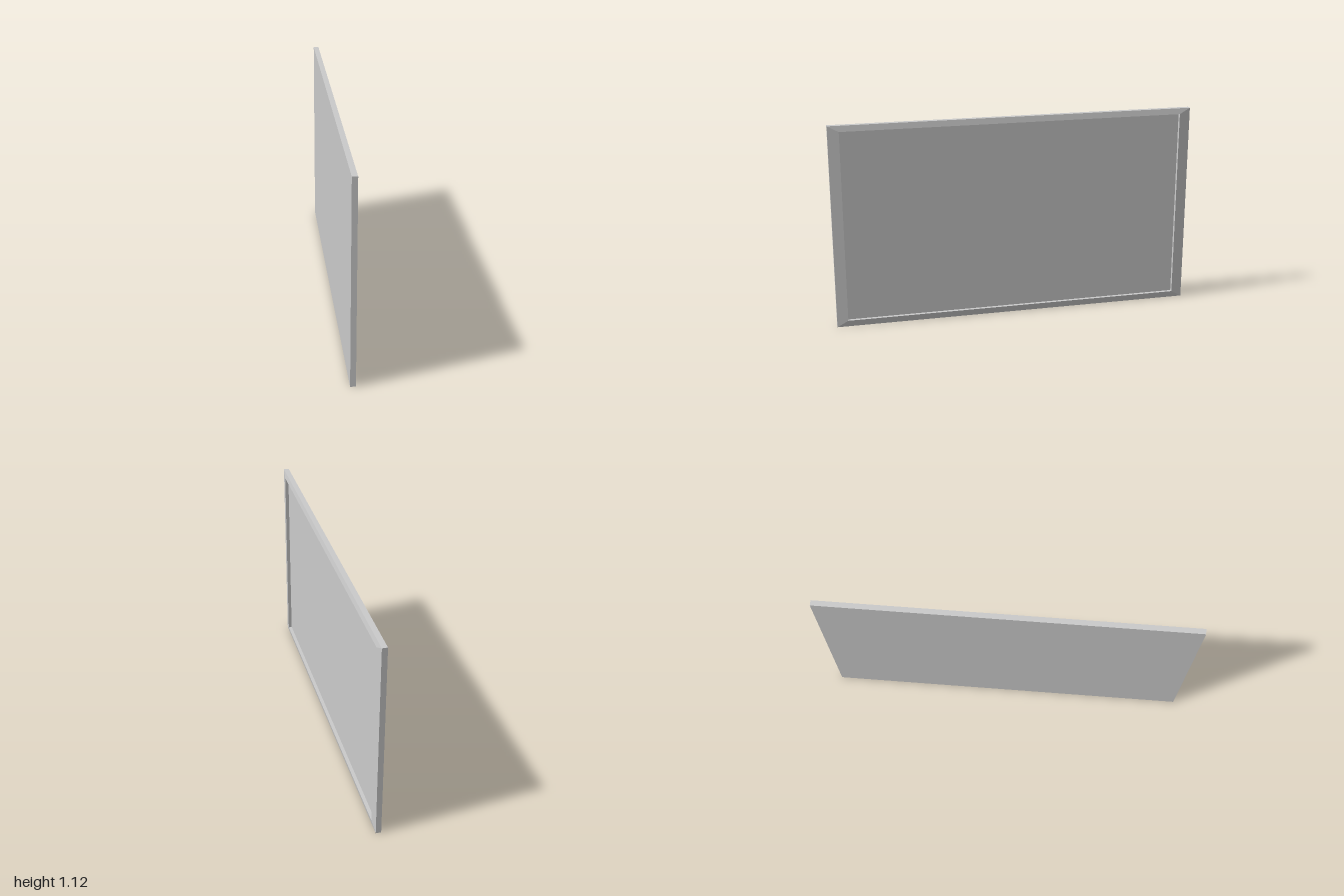
import * as THREE from 'three';

const HEIGHT = 1.124;
const BACK = -0.018, EDGE = 0.011, RIM = 0.017, SCREEN = -0.002;

// Rectangle of corners at depth x, seen counter-clockwise from +x
function rectangle(x, halfZ, y0, y1) {
  return [[x, y0, halfZ], [x, y0, -halfZ], [x, y1, -halfZ], [x, y1, halfZ]];
}

// Skin successive rectangles with flat quads
function loft(loops) {
  const positions = [];
  for (let i = 0; i < loops.length - 1; i++) {
    const a = loops[i], b = loops[i + 1];
    for (let j = 0; j < 4; j++) {
      const k = (j + 1) % 4;
      positions.push(...a[j], ...a[k], ...b[k], ...a[j], ...b[k], ...b[j]);
    }
  }
  const geometry = new THREE.BufferGeometry();
  geometry.setAttribute('position', new THREE.Float32BufferAttribute(positions, 3));
  geometry.computeVertexNormals();
  return geometry;
}

export function createModel() {
  const group = new THREE.Group();
  group.name = 'flatScreenPanel';
  const material = new THREE.MeshStandardMaterial({ color: 0xcccccc, flatShading: true });

  const add = (name, geometry) => {
    const mesh = new THREE.Mesh(geometry, material);
    mesh.name = name;
    group.add(mesh);
    return mesh;
  };

  const inner = { halfZ: 0.94, y0: 0.035, y1: 1.092 };
  const innerLoop = (x) => rectangle(x, inner.halfZ, inner.y0, inner.y1);

  // Outer sides, sloping bezel and the step down to the screen
  add('frame', loft([
    rectangle(BACK, 1, 0, HEIGHT),
    rectangle(EDGE, 1, 0, HEIGHT),
    innerLoop(RIM),
    innerLoop(SCREEN),
  ]));

  // Recessed display surface
  const screen = add('screen', new THREE.PlaneGeometry(inner.halfZ * 2, inner.y1 - inner.y0));
  screen.rotation.y = Math.PI / 2;
  screen.position.set(SCREEN, (inner.y0 + inner.y1) / 2, 0);

  // Flat rear cover
  const back = add('backCover', new THREE.PlaneGeometry(2, HEIGHT));
  back.rotation.y = -Math.PI / 2;
  back.position.set(BACK, HEIGHT / 2, 0);

  return group;
}
